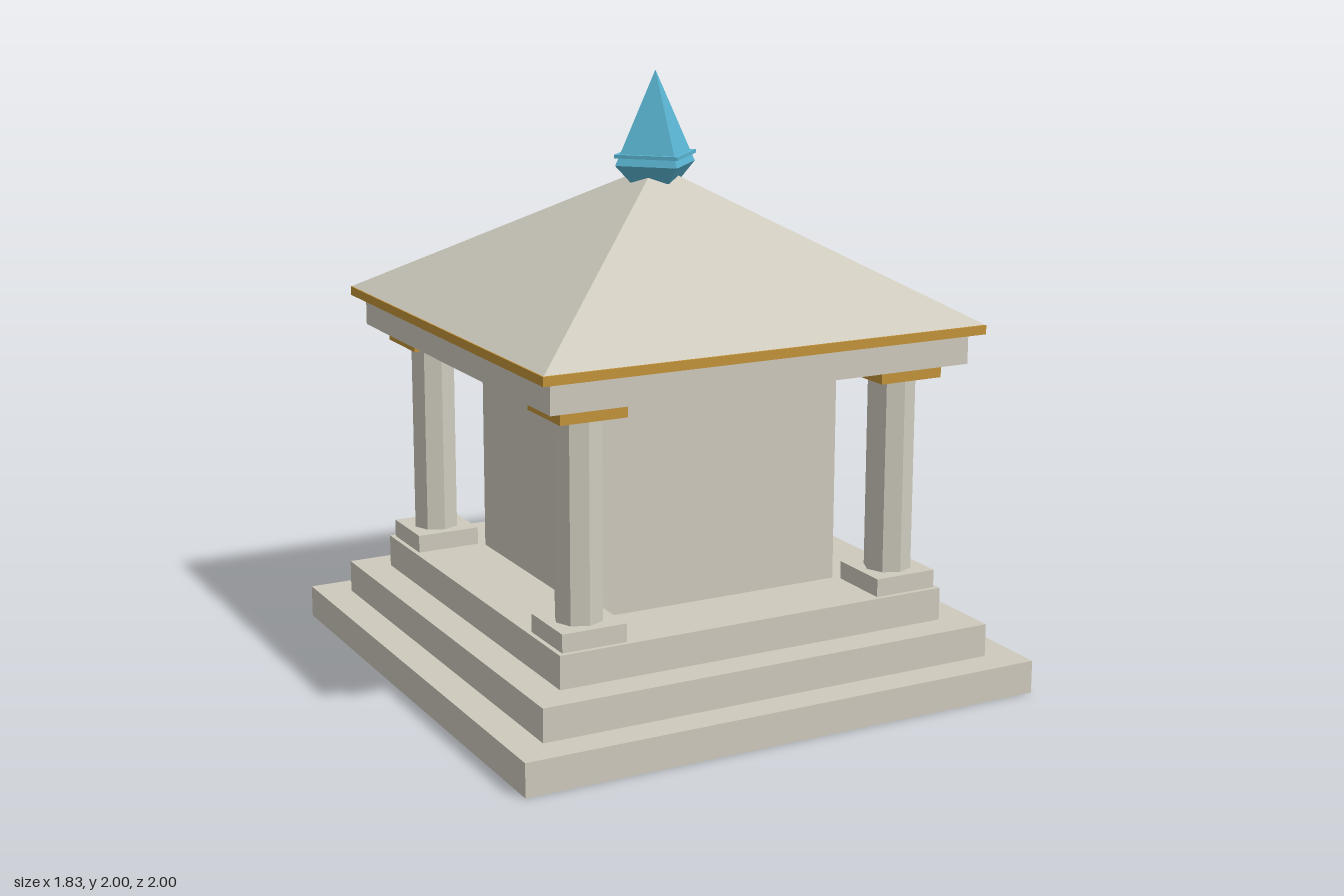
import * as THREE from 'three';

export function createModel() {
  const model = new THREE.Group();
  model.name = 'temple';
  const CZ = 0.085; // the temple sits forward of centre because of the rear step

  const makeMaterial = (name, color) => {
    const m = new THREE.MeshStandardMaterial({ color, flatShading: true });
    m.name = name;
    return m;
  };
  const stone = makeMaterial('stone', 0xcecabd);
  const gold = makeMaterial('gold', 0xc4933a);
  const crystal = makeMaterial('crystal', 0x5ab6d3);

  const add = (name, geometry, material, x, y, z) => {
    const mesh = new THREE.Mesh(geometry, material);
    mesh.name = name;
    mesh.position.set(x, y, z);
    model.add(mesh);
    return mesh;
  };
  // Square block from y0 to y1
  const block = (name, size, y0, y1, material, x = 0, z = 0) =>
    add(name, new THREE.BoxGeometry(size, y1 - y0, size), material, x, (y0 + y1) / 2, CZ + z);
  // Tapered prism from y0 to y1
  const prism = (name, rTop, rBottom, y0, y1, sides, material, x = 0, z = 0) =>
    add(name, new THREE.CylinderGeometry(rTop, rBottom, y1 - y0, sides), material, x, (y0 + y1) / 2, CZ + z);

  // Stepped platform and rear entry step
  [1.825, 1.605, 1.385].forEach((size, i) =>
    block('platformTier' + (i + 1), size, i * 0.11, (i + 1) * 0.11, stone));
  add('rearStep', new THREE.BoxGeometry(0.59, 0.07, 0.2), stone, 0, 0.035, -0.9);

  // Inner chamber
  block('chamber', 0.875, 0.33, 1.03, stone);

  // Corner columns with plinths and gilded capitals
  for (const sx of [-1, 1]) {
    for (const sz of [-1, 1]) {
      const x = sx * 0.567, z = sz * 0.567;
      block('columnPlinth', 0.22, 0.33, 0.39, stone, x, z);
      prism('columnShaft', 0.078, 0.078, 0.39, 1.04, 8, stone, x, z);
      block('columnCapital', 0.226, 1.04, 1.09, gold, x, z);
    }
  }

  // Entablature, gilded cornice and pyramid roof
  block('entablature', 1.48, 1.09, 1.19, stone);
  block('cornice', 1.56, 1.19, 1.22, gold);
  const roof = prism('roof', 0, 0.777 * Math.SQRT2, 1.221, 1.69, 4, stone);
  roof.rotation.y = Math.PI / 4;

  // Crystal finial, turned corner-on to the front
  prism('finialBase', 0.148, 0.093, 1.637, 1.694, 4, crystal);
  prism('finialRing', 0.152, 0.152, 1.719, 1.731, 4, crystal);
  prism('finialSpire', 0, 0.148, 1.694, 2.0, 4, crystal);

  return model;
}
